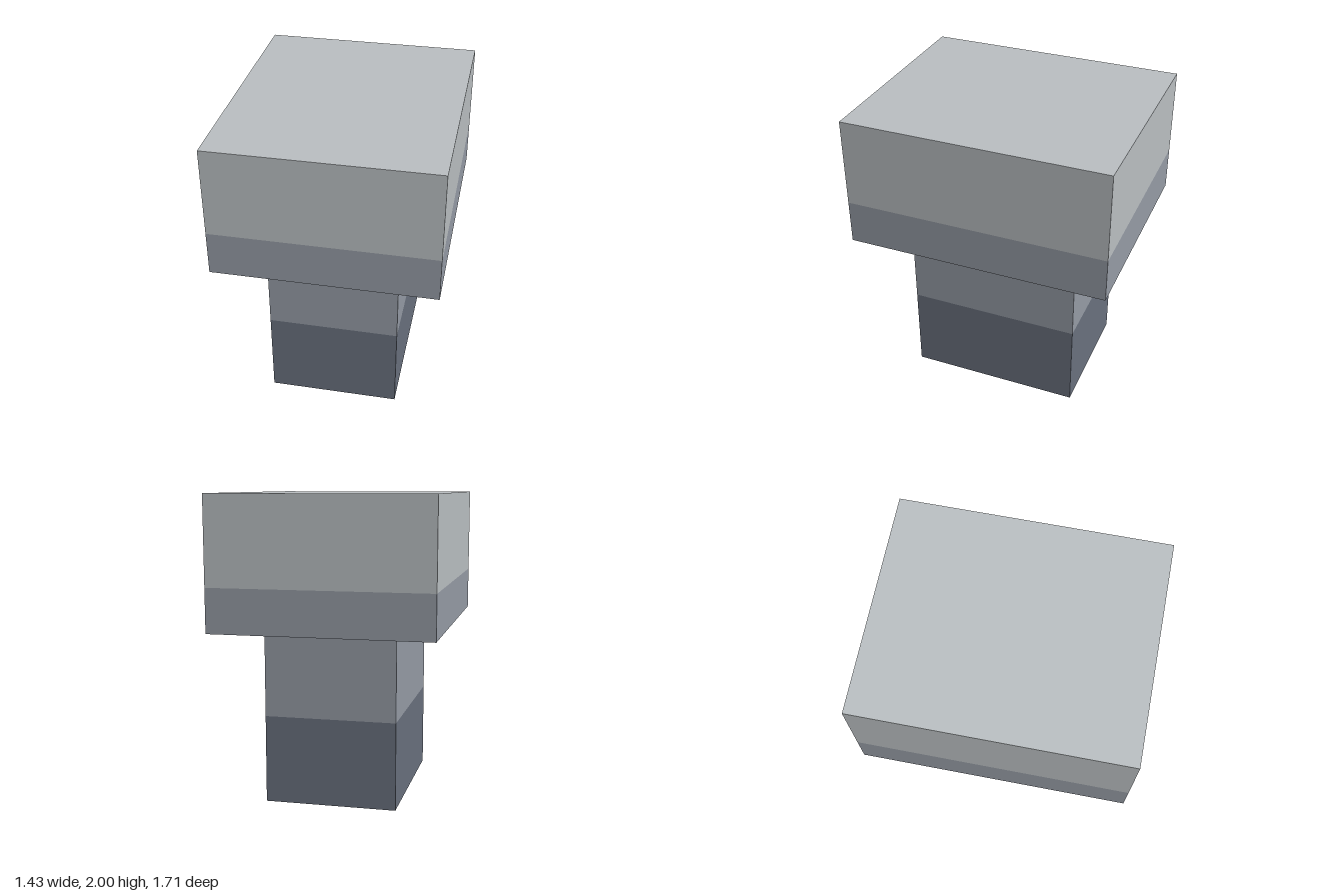
import * as THREE from 'three';

const U = 1 / 7; // modelling unit: the whole model is 14 units tall

const flat = (name, color) => {
  const m = new THREE.MeshStandardMaterial({ color });
  m.name = name;
  return m;
};

export function createModel() {
  const light = flat('light grey', 0xbbc0c3);
  const mid = flat('mid grey', 0x969ca6);
  const dark = flat('dark slate', 0x6a717e);

  const model = new THREE.Group();
  model.name = 'pillar';

  // A block centred on the axis, from height y0 to y1 (in units)
  const block = (name, w, d, y0, y1, material) => {
    const mesh = new THREE.Mesh(new THREE.BoxGeometry(w * U, (y1 - y0) * U, d * U), material);
    mesh.position.y = ((y0 + y1) / 2) * U;
    mesh.name = name;
    model.add(mesh);
  };

  // Narrow shaft in two shades
  block('shaftLower', 6, 8, 0, 4, dark);
  block('shaftUpper', 6, 8, 4, 8, mid);

  // Wide head in two shades
  block('headLower', 10, 12, 8, 10, mid);
  block('headUpper', 10, 12, 10, 14, light);

  return model;
}
